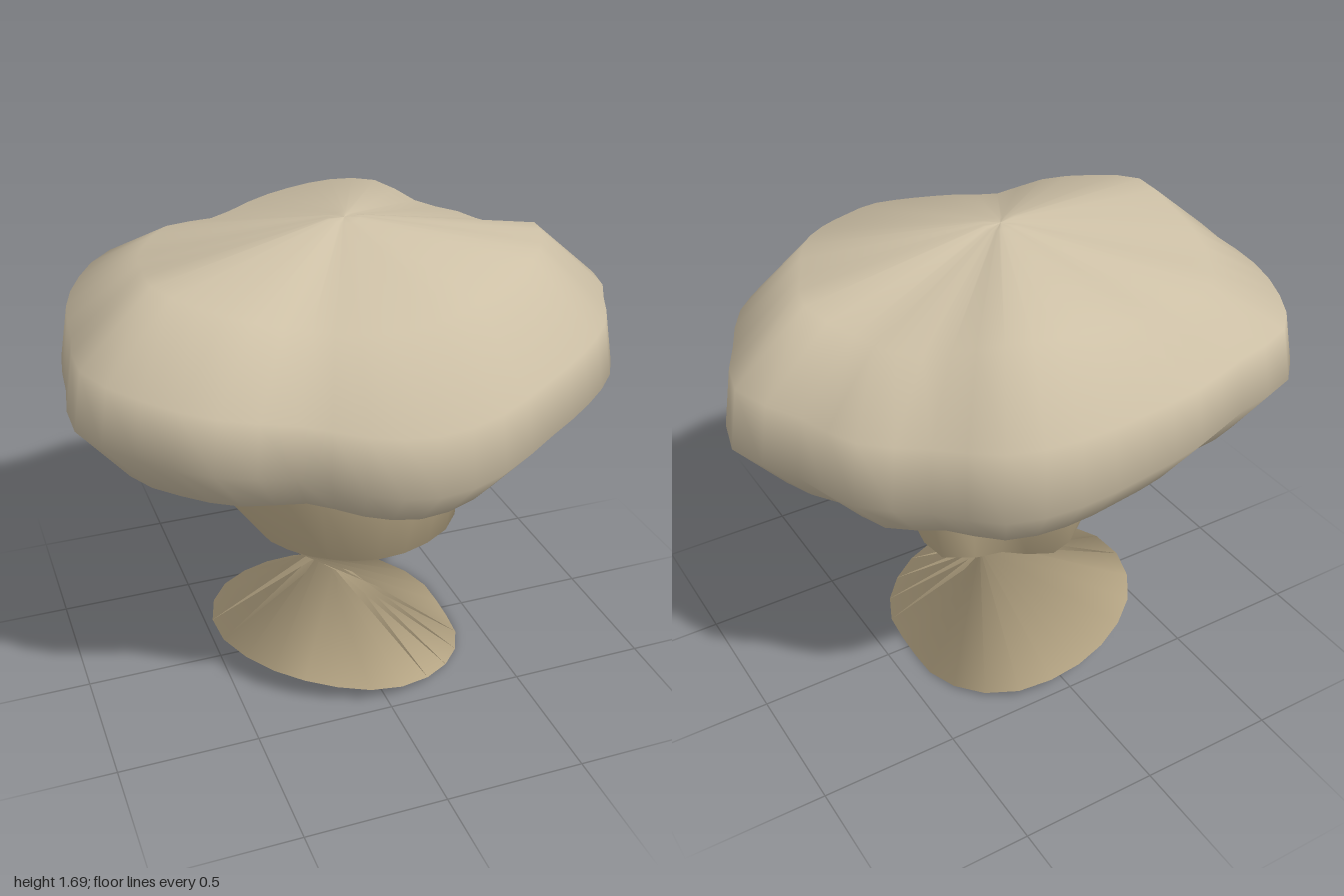
import * as THREE from 'three';

// Periodic smooth lookup: table values are evenly spaced from +x turning towards +z
function around(table) {
  const n = table.length;
  return (angle) => {
    const t = ((angle / (Math.PI * 2)) % 1 + 1) % 1 * n;
    const i = Math.floor(t), u = t - i;
    const [p, q, r, s] = [-1, 0, 1, 2].map((k) => table[(i + k + n) % n]);
    return q + 0.5 * u * (r - p + u * (2 * p - 5 * q + 4 * r - s + u * (3 * (q - r) + s - p)));
  };
}

// One closed ring of n points
const ring = (n, point, turn = 0) =>
  Array.from({ length: n }, (_, j) => point((j / n) * Math.PI * 2 + turn));

// Skin closed rings (listed top to bottom) into a smooth surface
function skin(rings, name, color, side) {
  const n = rings[0].length, index = [];
  for (let i = 0; i < rings.length - 1; i++) {
    for (let j = 0; j < n; j++) {
      const k = (j + 1) % n;
      const a = i * n + j, b = i * n + k, c = a + n, d = b + n;
      index.push(a, b, c, b, d, c);
    }
  }
  const geometry = new THREE.BufferGeometry().setFromPoints(rings.flat());
  geometry.setIndex(index);
  geometry.computeVertexNormals();
  const mesh = new THREE.Mesh(geometry, new THREE.MeshStandardMaterial({ color, side }));
  mesh.name = name;
  return mesh;
}

// Lumpy cap
function makeCap() {
  const outline = around([1, 0.94, 0.915, 0.88, 0.86, 0.87, 0.86, 0.835, 0.815, 0.91, 0.975, 1.025,
    0.97, 0.975, 0.985, 0.985, 0.89, 0.87, 0.865, 0.895, 0.915, 0.87, 0.915, 0.91]);
  // height waves of the crown, the rim and the underside
  const crown = around([-0.02, 0.055, 0.05, 0.01, 0.01, 0.01, 0, -0.07, -0.06, 0, 0, -0.06]);
  const rim = around([-0.015, 0.05, 0.05, -0.02, 0.03, 0.05, 0.045, 0.03, 0.02, -0.02, -0.06, -0.06]);
  const under = around([0.01, 0.04, 0.04, -0.03, 0.025, 0.05, 0.025, 0.05, 0.05, 0.01, 0, -0.04]);
  // [radius factor, height, forward tilt, crown wave, rim wave, underside wave]
  const profile = [[0, 1.685, 0, 0, 0, 0], [0.06, 1.685, 0.003, 0.1, 0, 0],
    [0.71, 1.575, 0.035, 1, 0, 0], [0.965, 1.36, 0.065, 0.2, 0.6, 0], [1, 1.16, 0.06, 0, 1, 0],
    [0.83, 0.965, 0.035, 0, 0.5, 0.3], [0.47, 0.81, 0.025, 0, 0, 1], [0, 0.8, 0, 0, 0, 0]];
  const middle = 1.2;
  const rings = profile.map(([f, y, tilt, up, mid, low]) => ring(48, (a) => {
    const r = outline(a);
    // lobes that reach further out are also a little thicker
    const swell = 1 + (r - 0.92) * 0.8 * Math.min(1, f * 2);
    const wave = up * crown(a) + mid * rim(a) + low * under(a);
    return new THREE.Vector3(
      f * r * Math.cos(a),
      middle + (y - middle) * swell - tilt * Math.sin(a) + wave,
      f * r * Math.sin(a));
  }));
  return skin(rings, 'cap', 0xcdc0a6, THREE.FrontSide);
}

// Stem: fluted collar above, one straight-sided span wrung to a narrow waist, flat tilted foot
function makeStem() {
  const twist = -157 * Math.PI / 180;
  const collar = around([0.37, 0.43, 0.45, 0.455, 0.46, 0.52, 0.57, 0.51, 0.44, 0.455, 0.37, 0.43]);
  const shoulder = around([0.36, 0.41, 0.385, 0.355, 0.32, 0.315, 0.33, 0.305, 0.32, 0.365, 0.32, 0.42]);
  const foot = around([0.41, 0.44, 0.455, 0.465, 0.455, 0.475, 0.51, 0.505, 0.48, 0.475, 0.485, 0.455]);
  // [outline, scale, height, slope along x, turn]
  const sections = [
    [collar, 1.04, 0.94, 0, 0],
    [collar, 1, 0.86, 0, 0],
    [shoulder, 1, 0.545, 0.07, 0],
    [foot, 1, 0.053, -0.13, twist],
    [foot, 0, 0.053, -0.13, twist],
  ];
  const rings = sections.map(([outline, scale, y, slope, turn]) => ring(24, (a) => {
    const r = scale * outline(a), x = r * Math.cos(a);
    return new THREE.Vector3(x, y + slope * x, r * Math.sin(a));
  }, turn));
  return skin(rings, 'twistedStem', 0xc8b692, THREE.DoubleSide);
}

export function createModel() {
  const group = new THREE.Group();
  group.name = 'mushroom';
  group.add(makeCap(), makeStem());
  return group;
}
